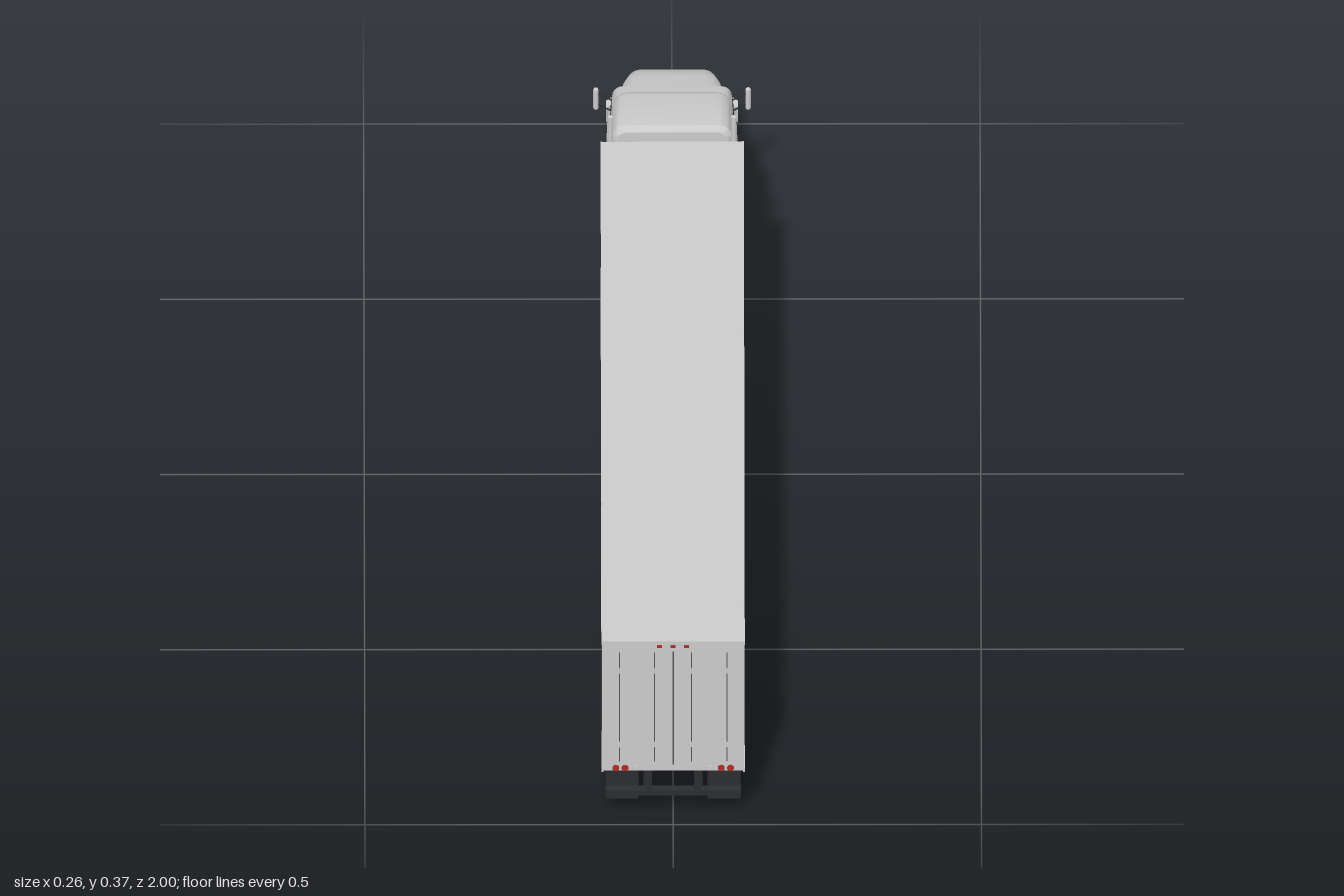
import * as THREE from 'three';
import { toCreasedNormals } from 'three/addons/utils/BufferGeometryUtils.js';

const mat = (color) => new THREE.MeshStandardMaterial({ color });
const grey = mat(0xcccccc), paint = mat(0xe6e6e6), dark = mat(0x2c2d2f), tyreMat = mat(0x1c1c1c);
const glass = mat(0x25282c), seamMat = mat(0x555555), red = mat(0xb02a25), white = mat(0xf2f2f2);
glass.side = THREE.DoubleSide;

function add(parent, name, geo, m, x = 0, y = 0, z = 0) {
  const mesh = new THREE.Mesh(geo, m);
  mesh.name = name;
  mesh.position.set(x, y, z);
  parent.add(mesh);
  return mesh;
}
// box given by its limits on each axis
const box = (p, name, m, x0, x1, y0, y1, z0, z1) =>
  add(p, name, new THREE.BoxGeometry(x1 - x0, y1 - y0, z1 - z0), m, (x0 + x1) / 2, (y0 + y1) / 2, (z0 + z1) / 2);
// the same box on both sides
const boxes = (p, name, m, x0, x1, y0, y1, z0, z1) => {
  box(p, name, m, x0, x1, y0, y1, z0, z1);
  box(p, name, m, -x1, -x0, y0, y1, z0, z1);
};
function rod(p, name, m, r, a, b, seg = 12) {
  const A = new THREE.Vector3(...a), B = new THREE.Vector3(...b), d = B.clone().sub(A);
  const mesh = add(p, name, new THREE.CylinderGeometry(r, r, d.length(), seg), m, ...A.clone().add(B).multiplyScalar(0.5));
  mesh.quaternion.setFromUnitVectors(new THREE.Vector3(0, 1, 0), d.normalize());
  return mesh;
}

// cab stations: z, half width below, half width above, bottom, top, roof corner radius
const stations = [
  [-0.490, 0.100, 0.092, 0.078, 0.338, 0.020],
  [-0.498, 0.105, 0.097, 0.078, 0.347, 0.022],
  [-0.585, 0.106, 0.097, 0.078, 0.348, 0.025],
  [-0.605, 0.106, 0.096, 0.078, 0.338, 0.025],
  [-0.635, 0.106, 0.096, 0.078, 0.305, 0.022],
  [-0.670, 0.106, 0.097, 0.078, 0.272, 0.018],
  [-0.700, 0.106, 0.098, 0.076, 0.264, 0.018],
  [-0.745, 0.106, 0.097, 0.074, 0.253, 0.018],
  [-0.790, 0.106, 0.094, 0.072, 0.183, 0.020],
  [-0.850, 0.106, 0.088, 0.070, 0.168, 0.026],
  [-0.930, 0.102, 0.080, 0.066, 0.148, 0.026],
  [-0.965, 0.094, 0.072, 0.062, 0.134, 0.022],
  [-0.980, 0.086, 0.064, 0.060, 0.118, 0.018],
];
const WHEEL_Z = -0.888, ARCH = 0.052;

function station(z) {
  let i = 0;
  while (i < stations.length - 2 && z < stations[i + 1][0]) i++;
  const a = stations[i], b = stations[i + 1], t = (z - a[0]) / (b[0] - a[0]);
  const s = a.map((v, k) => v + (b[k] - v) * t);
  const dz = z - WHEEL_Z;
  if (Math.abs(dz) < ARCH) s[3] = Math.max(s[3], 0.045 + Math.sqrt(ARCH * ARCH - dz * dz));
  return s;
}
function sideX(z, y) {
  const [, hw, ht, yb, yt, r] = station(z);
  return THREE.MathUtils.lerp(hw, ht, Math.min(1, (y - yb) / (yt - r - yb)));
}
function cabGeometry() {
  const zs = stations.map((s) => s[0]);
  for (let i = 0; i <= 16; i++) zs.push(WHEEL_Z + ARCH * Math.cos((i / 16) * Math.PI));
  zs.sort((a, b) => b - a);
  const pos = [], idx = [], N = 14;
  for (const z of zs) {
    const [, hw, ht, yb, yt, r] = station(z), half = [[hw, yb]];
    for (let k = 0; k <= 5; k++) {
      const a = (k / 5) * Math.PI / 2;
      half.push([ht - r + r * Math.cos(a), yt - r + r * Math.sin(a)]);
    }
    for (const [x, y] of half) pos.push(x, y, z);
    for (const [x, y] of half.reverse()) pos.push(-x, y, z);
  }
  for (let i = 0; i < zs.length - 1; i++) for (let j = 0; j < N; j++) {
    const a = i * N + j, b = i * N + (j + 1) % N;
    idx.push(a, a + N, b, b, a + N, b + N);
  }
  const last = (zs.length - 1) * N;
  for (let j = 1; j < N - 1; j++) idx.push(0, j, j + 1, last, last + j + 1, last + j);
  const g = new THREE.BufferGeometry();
  g.setAttribute('position', new THREE.Float32BufferAttribute(pos, 3));
  g.setIndex(idx);
  return toCreasedNormals(g, 0.6);
}
// flat pane from corner points, as a fan
function pane(p, name, pts) {
  const g = new THREE.BufferGeometry(), idx = [];
  g.setAttribute('position', new THREE.Float32BufferAttribute(pts.flat(), 3));
  for (let i = 1; i < pts.length - 1; i++) idx.push(0, i, i + 1);
  g.setIndex(idx);
  g.computeVertexNormals();
  add(p, name, g, glass);
}

function wheel(p, x, z, width, side, dish) {
  const w = new THREE.Group(), h = width / 2, R = 0.042;
  w.name = 'wheel';
  const tyre = [[0.026, -h], [R - 0.004, -h], [R, -h + 0.004], [R, h - 0.004], [R - 0.004, h], [0.027, h], [0.026, -h]];
  const hub = [[0.0275, h - 0.001], [0.025, h], [0.021, h - dish], [0.011, h - dish], [0.009, h], [0, h]];
  const lathe = (pts) => toCreasedNormals(new THREE.LatheGeometry(pts.map((q) => new THREE.Vector2(...q)), 28), 0.5);
  add(w, 'tyre', lathe(tyre), tyreMat);
  add(w, 'hub', lathe(hub), grey).material.side = THREE.DoubleSide;
  w.rotation.z = -side * Math.PI / 2;
  w.position.set(side * x, 0.0445, z);
  p.add(w);
}
function dualAxle(p, z) {
  rod(p, 'axle', dark, 0.010, [-0.1, 0.0445, z], [0.1, 0.0445, z]);
  for (const s of [-1, 1]) {
    wheel(p, 0.068, z, 0.023, s, 0.004);
    wheel(p, 0.095, z, 0.024, s, 0.010);
  }
}

function buildTrailer() {
  const t = new THREE.Group();
  t.name = 'trailer';
  box(t, 'cargoBox', grey, -0.115, 0.115, 0.107, 0.361, -0.43, 0.997);
  boxes(t, 'bottomRail', grey, 0.113, 0.1162, 0.105, 0.113, -0.43, 0.998);
  boxes(t, 'topRail', grey, 0.113, 0.1162, 0.355, 0.362, -0.43, 0.998);
  for (const [s, list] of [[1, [0.56, 0.23, -0.1]], [-1, [0.89, 0.56, -0.21]]])
    for (const z of list) box(t, 'sideSeam', seamMat, s * 0.1153 - 0.0004, s * 0.1153 + 0.0004, 0.113, 0.355, z - 0.002, z + 0.002);
  // rear doors with lock rods
  box(t, 'doorSeam', seamMat, -0.001, 0.001, 0.12, 0.342, 0.997, 0.9985);
  for (const x of [0.03, 0.087]) {
    boxes(t, 'lockRod', seamMat, x - 0.0008, x + 0.0008, 0.127, 0.34, 0.997, 0.9995);
    for (const y of [0.16, 0.305]) boxes(t, 'rodClamp', grey, x - 0.0025, x + 0.0025, y - 0.005, y + 0.005, 0.997, 1);
  }
  for (const x of [-0.022, 0, 0.022]) box(t, 'markerLight', red, x - 0.004, x + 0.004, 0.35, 0.3545, 0.997, 0.9995);
  for (const s of [-1, 1]) for (const [x, r, m] of [[0.093, 0.0055, red], [0.078, 0.0055, red], [0.06, 0.004, white]])
    rod(t, 'tailLight', m, r, [s * x, 0.113, 0.996], [s * x, 0.113, 0.9998], 16);
  // underframe and side skirts
  boxes(t, 'skirt', dark, 0.106, 0.110, 0.038, 0.107, -0.15, 0.685);
  boxes(t, 'floorRail', dark, 0.032, 0.042, 0.085, 0.107, -0.16, 0.72);
  for (let i = 0; i < 26; i++) {
    const z = -0.14 + i * 0.033;
    box(t, 'crossMember', dark, -0.108, 0.108, 0.096, 0.107, z - 0.004, z + 0.004);
  }
  box(t, 'couplerPlate', dark, -0.09, 0.09, 0.098, 0.107, -0.42, -0.15);
  // landing gear
  boxes(t, 'landingLeg', dark, 0.068, 0.080, 0.034, 0.107, -0.206, -0.194);
  boxes(t, 'landingFoot', dark, 0.064, 0.084, 0.026, 0.034, -0.212, -0.188);
  rod(t, 'landingBrace', dark, 0.004, [-0.07, 0.07, -0.2], [0.07, 0.07, -0.2]);
  // rear bogie, flaps and guard
  boxes(t, 'bogieRail', dark, 0.036, 0.048, 0.06, 0.107, 0.70, 0.975);
  boxes(t, 'bogieSide', dark, 0.098, 0.110, 0.088, 0.107, 0.70, 0.972);
  for (const z of [0.72, 0.828, 0.94]) box(t, 'bogieCross', dark, -0.108, 0.108, 0.082, 0.1, z - 0.01, z + 0.01);
  box(t, 'airTank', dark, -0.036, 0.036, 0.052, 0.075, 0.81, 0.85);
  for (const z of [0.88, 0.775]) dualAxle(t, z);
  boxes(t, 'mudFlap', dark, 0.056, 0.109, 0.018, 0.09, 0.944, 0.948);
  boxes(t, 'guardPost', dark, 0.034, 0.044, 0.046, 0.107, 0.962, 0.974);
  box(t, 'rearGuard', dark, -0.11, 0.11, 0.043, 0.053, 0.962, 0.976);
  return t;
}

function buildTractor() {
  const t = new THREE.Group();
  t.name = 'tractor';
  add(t, 'cabBody', cabGeometry(), paint);
  // windscreen in two panes, side and sleeper windows
  const slope = (f, x) => [x, 0.253 - 0.07 * f + 0.0015, -0.745 - 0.045 * f - 0.002];
  for (const s of [-1, 1]) {
    pane(t, 'windscreen', [slope(0.06, s * 0.002), slope(0.06, s * 0.077), slope(0.2, s * 0.084), slope(0.93, s * 0.084), slope(0.93, s * 0.002)]);
    const side = (z, y) => [s * (sideX(z, y) + 0.0015), y, z];
    pane(t, 'doorWindow', [side(-0.695, 0.182), side(-0.779, 0.176), side(-0.745, 0.234), side(-0.7, 0.238)]);
    pane(t, 'sleeperWindow', [side(-0.56, 0.2), side(-0.595, 0.2), side(-0.595, 0.222), side(-0.56, 0.222)]);
    for (const z of [-0.625, -0.69]) pane(t, 'doorSeam', [side(z, 0.085), side(z - 0.0015, 0.085), side(z - 0.0015, 0.235), side(z, 0.235)]);
    // mirror
    add(t, 'mirror', new THREE.CapsuleGeometry(0.0045, 0.034, 4, 10), grey, s * 0.1235, 0.201, -0.785);
    for (const y of [0.191, 0.212]) rod(t, 'mirrorArm', dark, 0.0014, [s * 0.09, y - 0.012, -0.775], [s * 0.122, y, -0.785], 6);
    // exhaust stack
    rod(t, 'exhaustStack', grey, 0.0045, [s * 0.1, 0.09, -0.484], [s * 0.1, 0.373, -0.484], 14);
    rod(t, 'exhaustMuffler', grey, 0.0065, [s * 0.1, 0.12, -0.484], [s * 0.1, 0.25, -0.484], 14);
    // fuel tank with straps
    rod(t, 'fuelTank', grey, 0.024, [s * 0.079, 0.051, -0.64], [s * 0.079, 0.051, -0.755], 24);
    for (const z of [-0.66, -0.735]) rod(t, 'tankStrap', dark, 0.025, [s * 0.079, 0.051, z], [s * 0.079, 0.051, z - 0.006], 24);
    rod(t, 'headlight', white, 0.009, [s * 0.066, 0.087, -0.97], [s * 0.066, 0.087, -0.983], 16);
    wheel(t, 0.091, WHEEL_Z, 0.026, s, 0.006);
  }
  for (let i = -2; i <= 2; i++) box(t, 'roofLight', dark, i * 0.02 - 0.004, i * 0.02 + 0.004, 0.262, 0.272, -0.70, -0.69);
  // grille
  box(t, 'grilleBack', dark, -0.046, 0.046, 0.065, 0.112, -0.983, -0.975);
  for (let i = -6; i <= 6; i++) box(t, 'grilleBar', grey, i * 0.007 - 0.0012, i * 0.007 + 0.0012, 0.065, 0.112, -0.986, -0.98);
  for (const y of [0.063, 0.114]) box(t, 'grilleFrame', grey, -0.048, 0.048, y - 0.002, y + 0.002, -0.987, -0.975);
  // bumper with swept-back ends
  const b = new THREE.Shape([[-0.107, 0.958], [-0.107, 0.982], [-0.09, 1], [0.09, 1], [0.107, 0.982], [0.107, 0.958], [0.095, 0.975], [-0.095, 0.975]].map((q) => new THREE.Vector2(...q)));
  add(t, 'bumper', new THREE.ExtrudeGeometry(b, { depth: 0.027, bevelEnabled: false }), grey, 0, 0.034, 0).rotation.x = -Math.PI / 2;
  // chassis
  boxes(t, 'chassisRail', dark, 0.028, 0.038, 0.06, 0.085, -0.96, -0.24);
  box(t, 'engine', dark, -0.04, 0.04, 0.045, 0.1, -0.96, -0.76);
  box(t, 'cabFloor', dark, -0.095, 0.095, 0.07, 0.08, -0.82, -0.492);
  boxes(t, 'sideBox', dark, 0.06, 0.105, 0.042, 0.079, -0.615, -0.495);
  boxes(t, 'step', grey, 0.09, 0.106, 0.036, 0.041, -0.785, -0.765);
  box(t, 'deckPlate', grey, -0.055, 0.055, 0.085, 0.09, -0.49, -0.445);
  box(t, 'couplingPlate', dark, -0.05, 0.05, 0.085, 0.098, -0.40, -0.29);
  rod(t, 'frontAxle', dark, 0.009, [-0.085, 0.0445, WHEEL_Z], [0.085, 0.0445, WHEEL_Z]);
  for (const z of [-0.283, -0.4]) dualAxle(t, z);
  boxes(t, 'wheelGuard', dark, 0.056, 0.108, 0.088, 0.092, -0.445, -0.235);
  boxes(t, 'mudFlap', dark, 0.056, 0.108, 0.02, 0.09, -0.237, -0.234);
  boxes(t, 'frontFlap', dark, 0.056, 0.108, 0.06, 0.09, -0.448, -0.445);
  return t;
}

export function createModel() {
  const truck = new THREE.Group();
  truck.name = 'articulatedTruck';
  truck.add(buildTrailer(), buildTractor());
  return truck;
}
